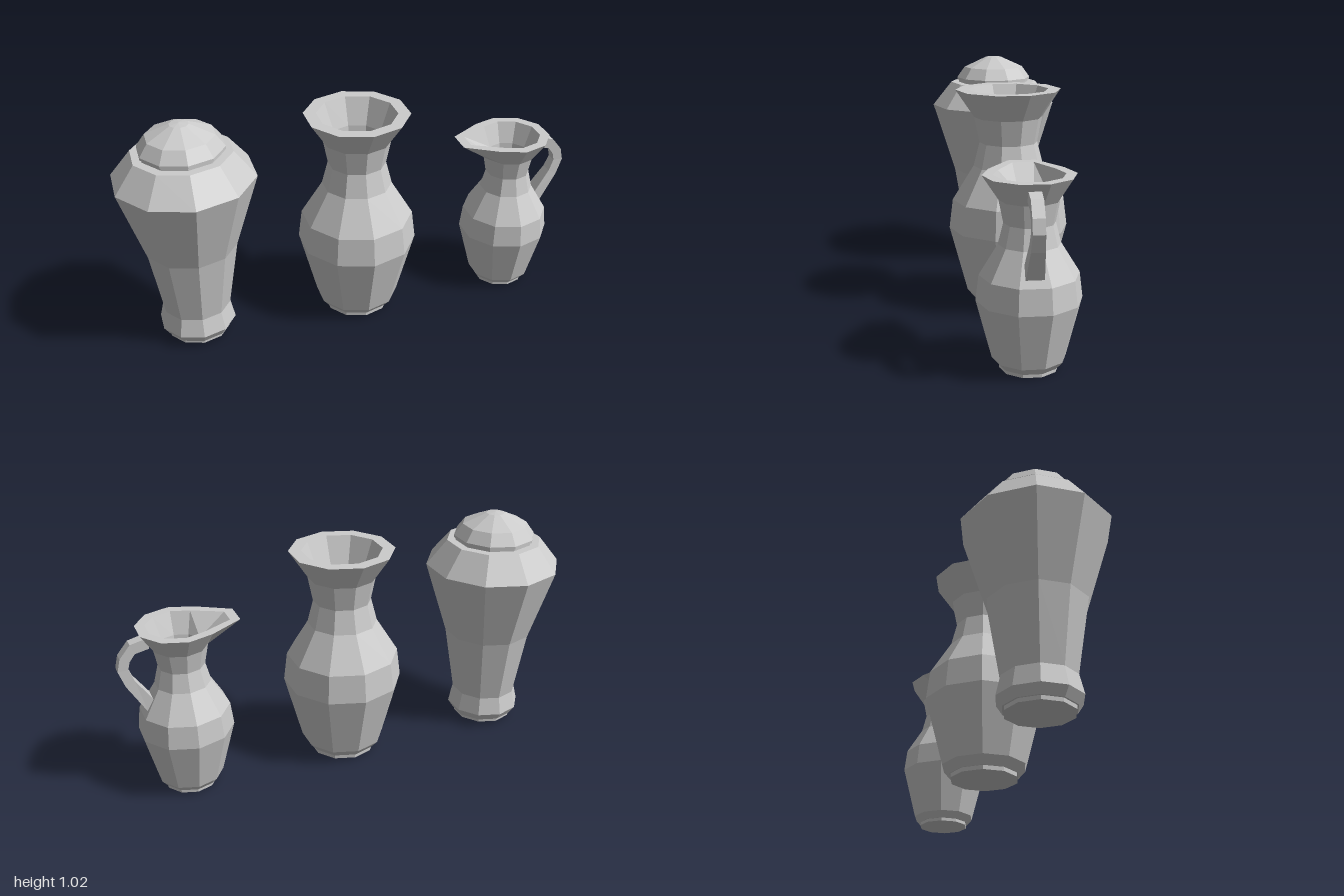
import * as THREE from 'three';

const SIDES = 10;
const clay = new THREE.MeshStandardMaterial({ color: 0xcccccc, flatShading: true });

function facetedMesh(name, geometry) {
  const flat = geometry.index ? geometry.toNonIndexed() : geometry;
  flat.computeVertexNormals();
  const mesh = new THREE.Mesh(flat, clay);
  mesh.name = name;
  return mesh;
}

// Ten-sided turned shape from [radius, height] pairs, listed bottom to top on the outside
function turned(profile) {
  return new THREE.LatheGeometry(profile.map(([r, y]) => new THREE.Vector2(r, y)), SIDES);
}

// Shared vase shape: foot, belly, neck, flared rim, then down the inside to the floor
const RIM_Y = 0.948;
const vaseProfile = [
  [0, 0], [0.146, 0], [0.146, 0.018], [0.15, 0.018], [0.182, 0.055], [0.2586, 0.345],
  [0.243, 0.47], [0.151, 0.618], [0.125, 0.72], [0.147, 0.83], [0.226, RIM_Y],
  [0.172, RIM_Y], [0.125, 0.83], [0.108, 0.72], [0.13, 0.618], [0.215, 0.47],
  [0.23, 0.345], [0.16, 0.06], [0, 0.06],
];

function makeJar() {
  const jar = new THREE.Group();
  jar.name = 'liddedJar';
  jar.add(facetedMesh('jarBody', turned([
    [0, 0.014], [0.135, 0.014], [0.135, 0.03], [0.142, 0.03], [0.166, 0.067], [0.147, 0.147],
    [0.197, 0.45], [0.3, 0.78], [0.21, 0.892], [0.17, 0.892], [0.17, 0.88], [0, 0.88],
  ])));
  jar.add(facetedMesh('jarLid', turned([
    [0, 0.88], [0.172, 0.88], [0.172, 0.904], [0.18, 0.904], [0.18, 0.915],
    [0.143, 0.966], [0.04, 1.013], [0, 1.018],
  ])));
  return jar;
}

// Swept handle with a rectangular section: [outer x, outer y, inner x, inner y, half width]
function makeHandle() {
  const sections = [
    [0.13, 0.718, 0.13, 0.67, 0.024],
    [0.205, 0.7, 0.188, 0.657, 0.023],
    [0.25, 0.645, 0.212, 0.625, 0.023],
    [0.263, 0.59, 0.22, 0.592, 0.023],
    [0.238, 0.52, 0.2, 0.54, 0.026],
    [0.16, 0.39, 0.135, 0.445, 0.035],
  ];
  const positions = [];
  const index = [];
  sections.forEach(([ox, oy, ix, iy, w], i) => {
    positions.push(ox, oy, w, ox, oy, -w, ix, iy, -w, ix, iy, w);
    if (i === sections.length - 1) return;
    for (let k = 0; k < 4; k++) {
      const a = i * 4 + k, b = i * 4 + (k + 1) % 4;
      index.push(a, a + 4, b, b, a + 4, b + 4);
    }
  });
  const e = (sections.length - 1) * 4;
  index.push(0, 1, 2, 0, 2, 3, e, e + 2, e + 1, e, e + 3, e + 2);
  const geometry = new THREE.BufferGeometry();
  geometry.setAttribute('position', new THREE.Float32BufferAttribute(positions, 3));
  geometry.setIndex(index);
  return facetedMesh('jugHandle', geometry);
}

function makeJug() {
  const jug = new THREE.Group();
  jug.name = 'jug';
  const body = turned(vaseProfile);
  body.scale(0.775, 0.784, 0.775);

  // Pull the two rim corners on one side outward into a pouring spout
  const p = body.attributes.position;
  for (let i = 0; i < p.count; i++) {
    const x = p.getX(i), z = p.getZ(i);
    if (p.getY(i) > 0.73 && x < 0 && Math.abs(z) < -x * 0.5) p.setX(i, x - 0.078);
  }
  jug.add(facetedMesh('jugBody', body), makeHandle());
  return jug;
}

export function createModel() {
  const model = new THREE.Group();
  model.name = 'potterySet';

  const jar = makeJar();
  jar.position.set(-0.714, 0, 0);

  const vase = new THREE.Group();
  vase.name = 'vase';
  vase.add(facetedMesh('vaseBody', turned(vaseProfile)));
  vase.position.set(0.021, 0.005, 0.003);

  const jug = makeJug();
  jug.position.set(0.737, 0, 0.002);

  model.add(jar, vase, jug);
  return model;
}
